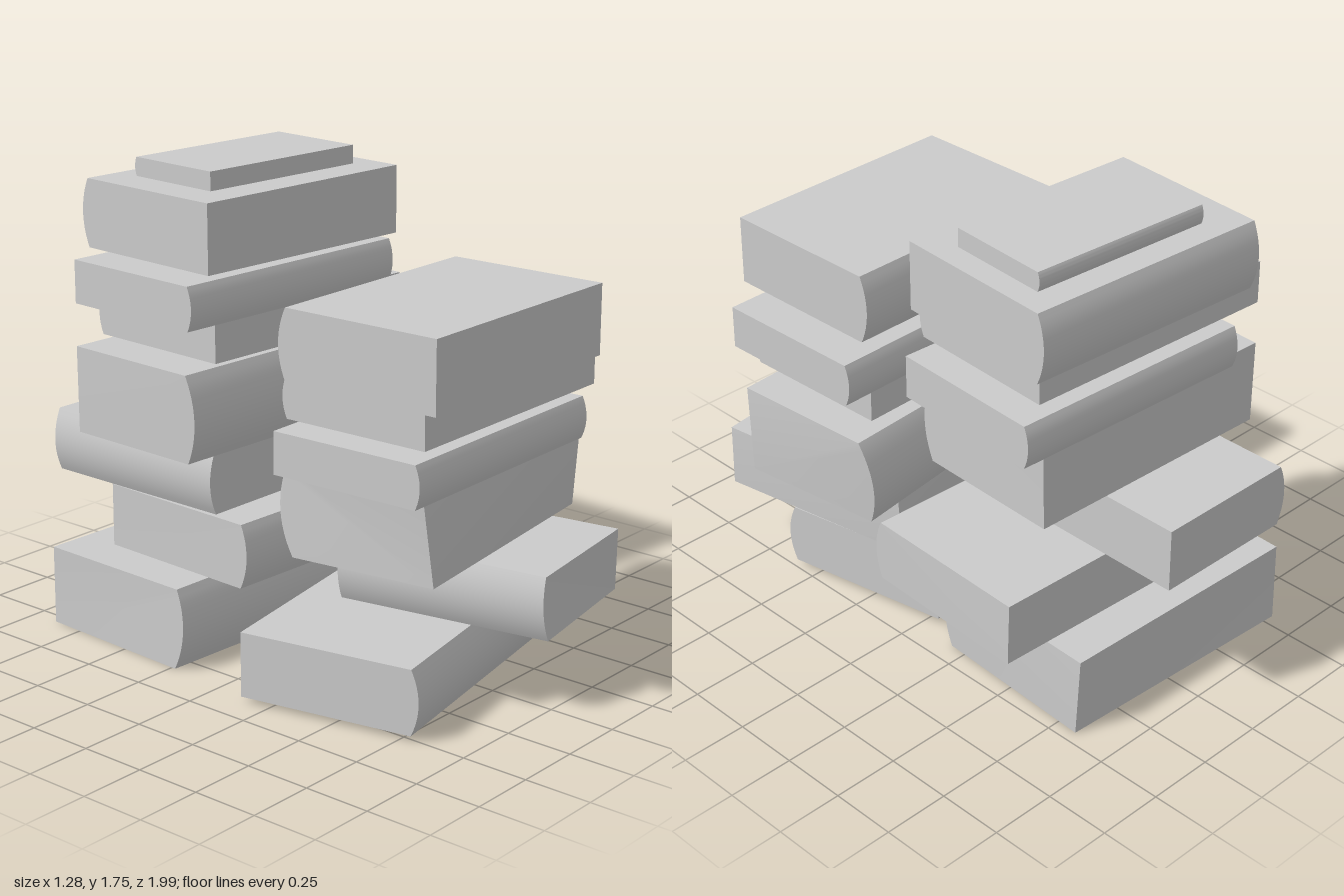
import * as THREE from 'three';
import { toCreasedNormals } from 'three/addons/utils/BufferGeometryUtils.js';

const material = new THREE.MeshStandardMaterial({ color: 0xcccccc });
const rad = THREE.MathUtils.degToRad;

// Which way the rounded spine points
const SPINE = { front: 0, back: Math.PI, side: -Math.PI / 2 };

// A closed book: flat on three sides, bulged along the spine.
// length runs along the spine, depth across it; the turn goes from a0 (bottom) to a1 (top).
function book(name, { y, x, z, length, depth, a0, a1 = a0, spine }) {
  const [y0, y1] = y;
  const bulge = 0.12 * (y1 - y0);
  const steps = 12;

  // End profile: spine arc on one side
  const profile = new THREE.Shape();
  profile.moveTo(-depth / 2, y0);
  for (let i = 0; i <= steps; i++) {
    const t = (i / steps) * 2 - 1;
    profile.lineTo(depth / 2 - bulge * t * t, y0 + ((t + 1) / 2) * (y1 - y0));
  }
  profile.lineTo(-depth / 2, y1);
  profile.closePath();

  const geometry = new THREE.ExtrudeGeometry(profile, { depth: length, bevelEnabled: false });
  geometry.translate(0, 0, -length / 2);
  geometry.rotateY(-Math.PI / 2 + SPINE[spine]);

  // Turn each level, letting thick books twist slightly
  const position = geometry.attributes.position;
  const axis = new THREE.Vector3(0, 1, 0);
  const v = new THREE.Vector3();
  for (let i = 0; i < position.count; i++) {
    v.fromBufferAttribute(position, i);
    const t = (v.y - y0) / (y1 - y0);
    v.applyAxisAngle(axis, rad(THREE.MathUtils.lerp(a0, a1, t)));
    position.setXYZ(i, v.x + x, v.y, v.z + z);
  }

  const mesh = new THREE.Mesh(toCreasedNormals(geometry, rad(25)), material);
  mesh.name = name;
  return mesh;
}

// Books from bottom to top
const backStack = [
  { y: [0, 0.305], x: -0.065, z: -0.515, length: 1.0, depth: 0.69, a0: -3, a1: -1.8, spine: 'front' },
  { y: [0.305, 0.545], x: 0.1, z: -0.35, length: 1.015, depth: 0.695, a0: -2.7, a1: -2.3, spine: 'front' },
  { y: [0.545, 0.785], x: -0.125, z: -0.592, length: 0.8, depth: 0.59, a0: -0.5, spine: 'side' },
  { y: [0.785, 1.105], x: -0.055, z: -0.4, length: 1.012, depth: 0.6, a0: -2.2, a1: -2.8, spine: 'front' },
  { y: [1.105, 1.265], x: 0.1, z: -0.46, length: 0.965, depth: 0.607, a0: -3.1, spine: 'back' },
  { y: [1.265, 1.425], x: -0.057, z: -0.39, length: 1.02, depth: 0.6, a0: -3.3, spine: 'front' },
  { y: [1.425, 1.68], x: 0.075, z: -0.483, length: 0.955, depth: 0.66, a0: -4, spine: 'back' },
  { y: [1.68, 1.75], x: 0.103, z: -0.488, length: 0.715, depth: 0.4, a0: -4.4, spine: 'back' },
];

const frontStack = [
  { y: [0.02, 0.26], x: -0.075, z: 0.385, length: 1.02, depth: 0.69, a0: 10.8, spine: 'front' },
  { y: [0.26, 0.495], x: 0.17, z: 0.55, length: 0.81, depth: 0.595, a0: 10, a1: 8.3, spine: 'side' },
  { y: [0.495, 0.82], x: 0.095, z: 0.4, length: 1.02, depth: 0.6, a0: 7.8, a1: 4, spine: 'back' },
  { y: [0.82, 0.975], x: -0.033, z: 0.5, length: 0.995, depth: 0.61, a0: 1.8, spine: 'front' },
  { y: [0.975, 1.135], x: 0.11, z: 0.425, length: 1.02, depth: 0.605, a0: 1.4, spine: 'back' },
  { y: [1.135, 1.395], x: -0.008, z: 0.513, length: 0.955, depth: 0.66, a0: 0.9, spine: 'back' },
];

function stack(name, books) {
  const group = new THREE.Group();
  group.name = name;
  books.forEach((spec, i) => group.add(book(`${name}Book${i + 1}`, spec)));
  return group;
}

export function createModel() {
  const model = new THREE.Group();
  model.name = 'bookStacks';
  model.add(stack('backStack', backStack), stack('frontStack', frontStack));
  return model;
}
